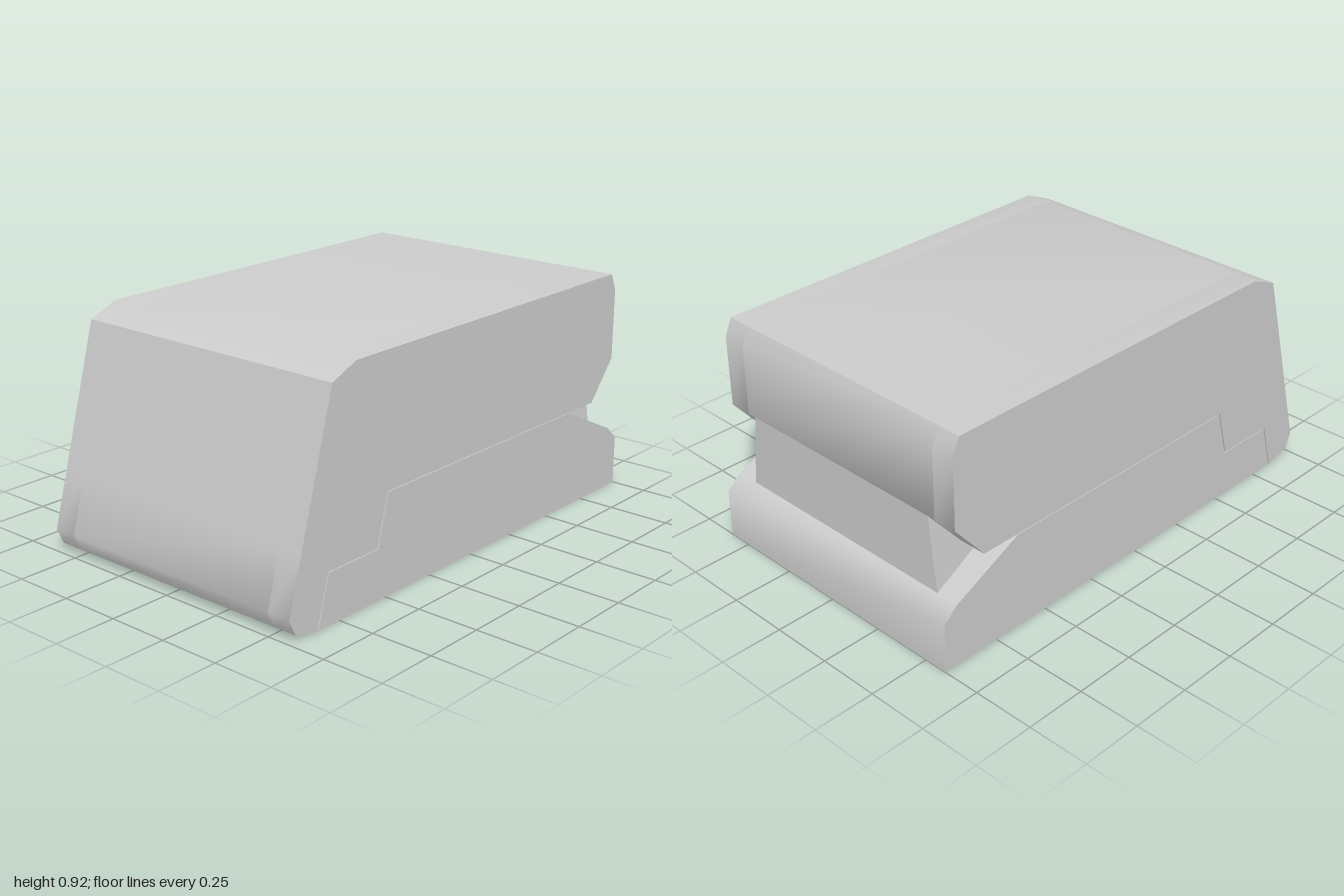
import * as THREE from 'three';
import { toCreasedNormals } from 'three/addons/utils/BufferGeometryUtils.js';

const material = new THREE.MeshStandardMaterial({ color: 0xcccccc });
const CREASE = 0.84;

const toShape = (points) => new THREE.Shape(points.map(([a, b]) => new THREE.Vector2(a, b)));

// Side profile of [z, y] points, extruded across x from x0 to x1
function slab(name, profile, x0, x1) {
  const geometry = new THREE.ExtrudeGeometry(toShape(profile), { depth: x1 - x0, bevelEnabled: false });
  geometry.rotateY(-Math.PI / 2).translate(x1, 0, 0);
  const mesh = new THREE.Mesh(toCreasedNormals(geometry, CREASE), material);
  mesh.name = name;
  return mesh;
}

export function createModel() {
  const model = new THREE.Group();
  model.name = 'hingedBox';

  // Base: stepped at the front, chamfered lip at the back
  model.add(slab('base', [
    [0.855, 0], [0.8, 0.197], [0.54, 0.197], [0.486, 0.397], [-0.64, 0.397],
    [-0.94, 0.255], [-1, 0.2], [-1, 0],
  ], -0.598, 0.598));

  // Lid: shared outer outline, closed below by the stepped seam
  const outer = [
    [0.97, 0.025], [1, 0.09], [0.94, 0.3], [0.78, 0.865], [0.66, 0.915],
    [-0.91, 0.915], [-0.94, 0.845], [-0.94, 0.56], [-0.805, 0.4],
    [0.493, 0.4], [0.547, 0.2], [0.805, 0.2],
  ];
  const lid = new THREE.Group();
  lid.name = 'lid';
  lid.add(slab('lidLeftSide', [...outer, [0.862, 0]], 0.5, 0.598));
  lid.add(slab('lidRightSide', [...outer, [0.862, 0]], -0.598, -0.5));
  // The middle leaves an open pocket behind the front lip
  lid.add(slab('lidMiddle', [...outer, [0.91, 0.2]], -0.5, 0.5));
  model.add(lid);

  // Tapered inner block showing in the wedge-shaped gap at the back
  const block = new THREE.ExtrudeGeometry(
    toShape([[-0.505, 0.22], [0.505, 0.22], [0.465, 0.56], [-0.465, 0.56]]),
    { depth: 0.5, bevelEnabled: false },
  );
  block.translate(0, 0, -0.938);
  const blockMesh = new THREE.Mesh(block, material);
  blockMesh.name = 'innerBlock';
  model.add(blockMesh);

  return model;
}
